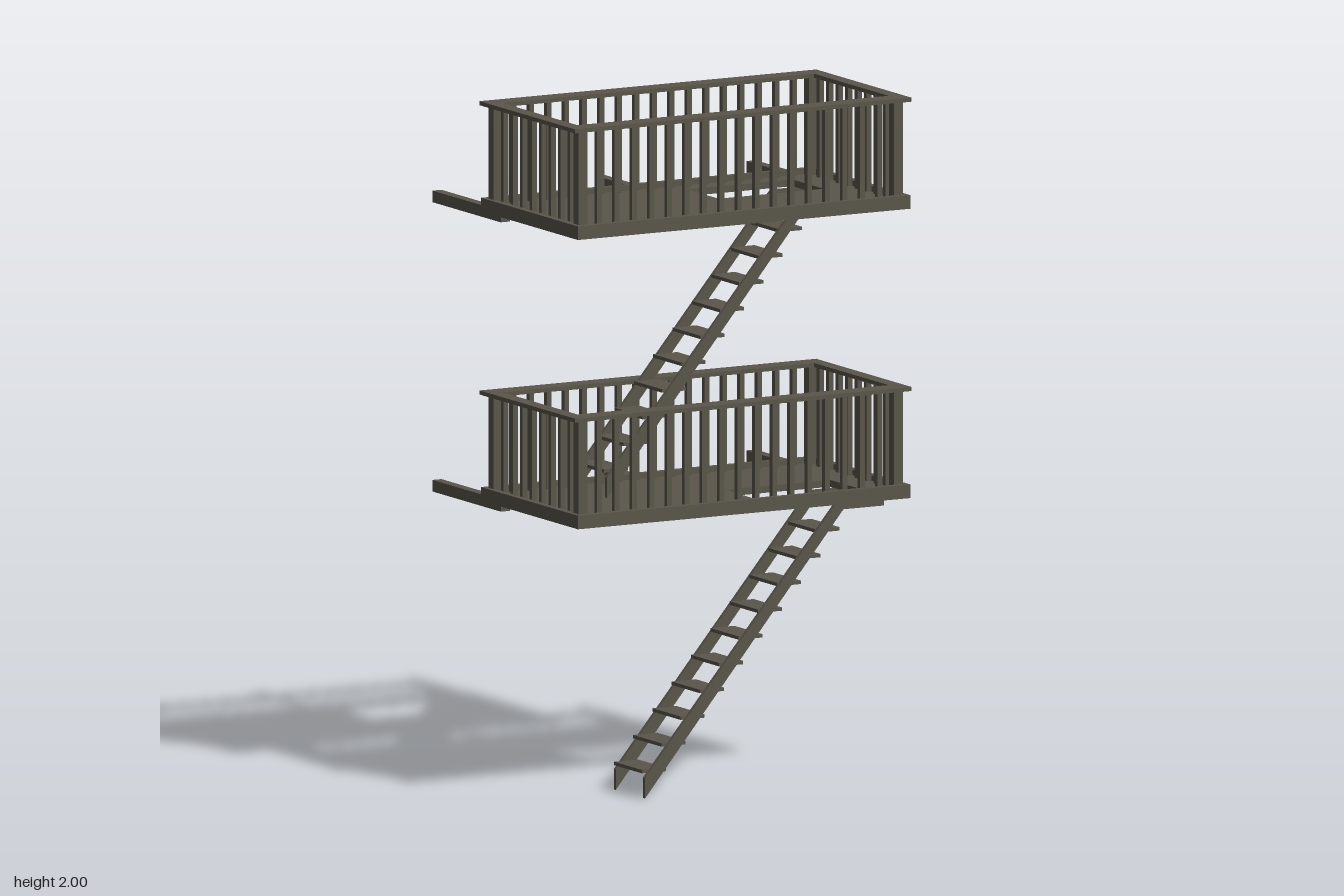
import * as THREE from 'three';

const iron = new THREE.MeshStandardMaterial({ color: 0x5a564b });
iron.name = 'weathered iron';

// Box given by its min and max corners
function box(parent, name, x0, x1, y0, y1, z0, z1) {
  const mesh = new THREE.Mesh(new THREE.BoxGeometry(x1 - x0, y1 - y0, z1 - z0), iron);
  mesh.name = name;
  mesh.position.set((x0 + x1) / 2, (y0 + y1) / 2, (z0 + z1) / 2);
  parent.add(mesh);
  return mesh;
}

// Rectangular ring lying flat
function frame(parent, name, X, z0, z1, y0, y1, tx, tz) {
  const g = new THREE.Group();
  g.name = name;
  box(g, name + 'Front', -X, X, y0, y1, z1 - tz, z1);
  box(g, name + 'Back', -X, X, y0, y1, z0, z0 + tz);
  box(g, name + 'Left', X - tx, X, y0, y1, z0 + tz, z1 - tz);
  box(g, name + 'Right', -X, -X + tx, y0, y1, z0 + tz, z1 - tz);
  parent.add(g);
}

// Balcony with stair opening, railing and wall beams; y = 0 is the rim's underside
function balcony(holeZ) {
  const g = new THREE.Group();
  g.name = 'balcony';
  frame(g, 'rim', 0.553, -0.132, 0.44, 0, 0.04, 0.02, 0.02);

  // Floor plate with the opening above the stairs
  const plate = new THREE.Shape([[-0.535, -0.115], [0.535, -0.115], [0.535, 0.422], [-0.535, 0.422]]
    .map(([x, z]) => new THREE.Vector2(x, -z)));
  const a = holeZ - 0.093, b = holeZ + 0.093;
  plate.holes.push(new THREE.Path([[0.085, a], [0.085, b], [0.435, b], [0.435, a]]
    .map(([x, z]) => new THREE.Vector2(x, -z))));
  const floor = new THREE.Mesh(new THREE.ExtrudeGeometry(plate, { depth: 0.02, bevelEnabled: false }), iron);
  floor.name = 'floor';
  floor.rotation.x = -Math.PI / 2;
  floor.position.y = 0.004;
  g.add(floor);

  // Railing
  const zBack = -0.097, zFront = 0.405, X = 0.525;
  frame(g, 'topRail', 0.56, -0.128, 0.434, 0.313, 0.325, 0.042, 0.06);
  const upright = (name, x, z, r) => box(g, name, x - r, x + r, 0.01, 0.315, z - r, z + r);
  for (const x of [-X, X]) for (const z of [zBack, zFront]) upright('cornerPost', x, z, 0.015);
  for (let i = 1; i < 18; i++) {
    const x = -X + (2 * X * i) / 18;
    for (const z of [zBack, zFront]) upright('baluster', x, z, 0.008);
  }
  for (let i = 1; i < 9; i++) {
    const z = zBack + ((zFront - zBack) * i) / 9;
    for (const x of [-X, X]) upright('baluster', x, z, 0.008);
  }

  // Beams reaching back to the wall
  for (const x of [-0.524, 0.015, 0.521]) box(g, 'wallBeam', x - 0.015, x + 0.015, -0.02, 0.014, -0.443, -0.04);
  return g;
}

// Open stair flight; y = 0 is its foot
function stairs() {
  const g = new THREE.Group();
  g.name = 'stairs';
  const profile = new THREE.Shape([[-0.285, 0], [0.375, 0.795], [0.51, 0.795], [0.51, 0.826], [0.36, 0.826], [-0.285, 0.06]]
    .map(([x, y]) => new THREE.Vector2(x, y)));
  const geo = new THREE.ExtrudeGeometry(profile, { depth: 0.012, bevelEnabled: false });
  for (const z of [-0.092, 0.08]) {
    const stringer = new THREE.Mesh(geo, iron);
    stringer.name = 'stringer';
    stringer.position.z = z;
    g.add(stringer);
  }
  for (let i = 0; i < 11; i++) {
    const x = -0.25 + 0.0642 * i, y = 0.078 + 0.0732 * i;
    box(g, 'tread', x - 0.04, x + 0.04, y - 0.005, y + 0.005, -0.083, 0.083);
  }
  return g;
}

export function createModel() {
  const model = new THREE.Group();
  model.name = 'fireEscape';
  // Two storeys, with the flights staggered in depth
  [0.268, 0.045].forEach((z, i) => {
    const deck = balcony(z);
    deck.position.y = 0.825 + 0.85 * i;
    const flight = stairs();
    flight.position.set(0, 0.85 * i, z);
    model.add(deck, flight);
  });
  return model;
}
